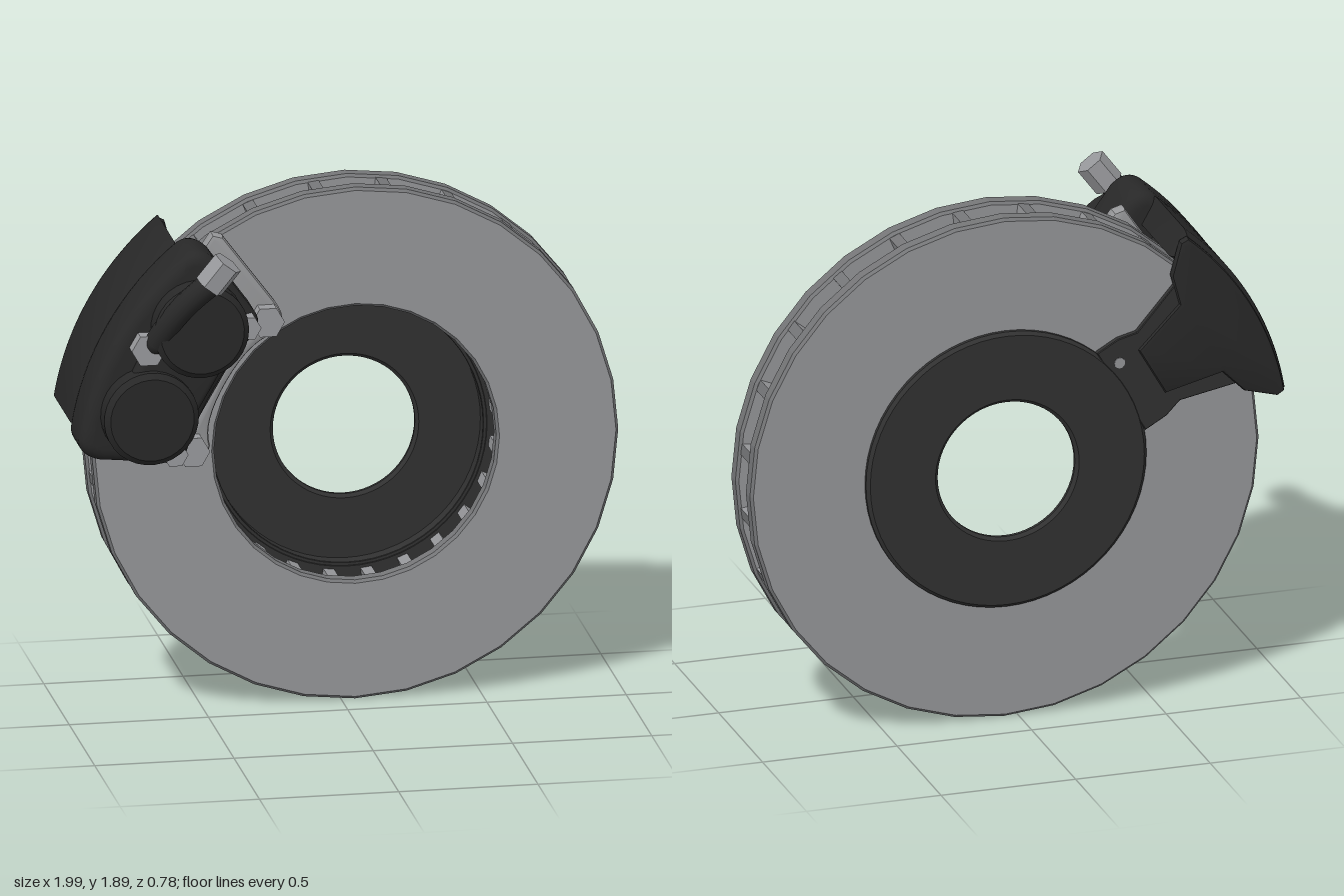
import * as THREE from 'three';
import { toCreasedNormals } from 'three/addons/utils/BufferGeometryUtils.js';

const mat = (name, color) => {
  const m = new THREE.MeshStandardMaterial({ color });
  m.name = name;
  return m;
};

export function createModel() {
  const model = new THREE.Group();
  model.name = 'brakeAssembly';
  const steel = mat('disc steel', 0x959699);
  const edge = mat('disc edge', 0x757678);
  const hatBlack = mat('hat black', 0x313131);
  const black = mat('caliper black', 0x282828);
  const bracketGrey = mat('bracket grey', 0x969799);
  const boltGrey = mat('bolt grey', 0x999a9d);

  const add = (parent, name, geometry, material) => {
    const mesh = new THREE.Mesh(geometry, material);
    mesh.name = name;
    parent.add(mesh);
    return mesh;
  };

  // Bevelled slab that fills its shape exactly, from z0 to z1
  const slab = (shape, z0, z1, bevel, curveSegments = 12, bevelSegments = 1) => {
    const g = new THREE.ExtrudeGeometry(shape, {
      depth: z1 - z0 - 2 * bevel, bevelEnabled: true, bevelThickness: bevel,
      bevelSize: bevel, bevelOffset: -bevel, bevelSegments, curveSegments,
    });
    return g.translate(0, 0, z0 + bevel);
  };
  const smoothSlab = (...args) => toCreasedNormals(slab(...args), 0.6);

  const ringShape = (outer, inner) => {
    const s = new THREE.Shape().absarc(0, 0, outer, 0, Math.PI * 2, false);
    s.holes.push(new THREE.Path().absarc(0, 0, inner, 0, Math.PI * 2, true));
    return s;
  };

  // ---- Vented disc ----
  const disc = new THREE.Group();
  disc.name = 'ventedDisc';
  disc.position.set(0.05, 0.95, 0);
  model.add(disc);
  add(disc, 'frontPlate', slab(ringShape(0.945, 0.507), -0.185, -0.12, 0.01, 16), [steel, edge]);
  add(disc, 'backPlate', slab(ringShape(0.945, 0.507), -0.35, -0.285, 0.01, 16), [steel, edge]);
  // Vanes: the outer end (first face group) matches the rim
  const vane = new THREE.BoxGeometry(0.42, 0.04, 0.104).translate(0.723, 0, -0.235);
  const vaneMaterials = [edge, steel, steel, steel, steel, steel];
  for (let i = 0; i < 24; i++) {
    add(disc, 'vane', vane, vaneMaterials).rotation.z = (i + 0.5) * Math.PI / 12;
  }
  // Hat: mounting face, barrel and the flange that enters the vents
  add(disc, 'hat', smoothSlab(ringShape(0.521, 0.255), -0.376, -0.338, 0.012, 32), hatBlack);
  add(disc, 'hatBarrel', smoothSlab(ringShape(0.512, 0.488), -0.36, -0.283, 0.002, 32), hatBlack);
  add(disc, 'hatFlange', smoothSlab(ringShape(0.58, 0.5), -0.289, -0.281, 0.002, 32), hatBlack);

  // ---- Caliper: local +x points outward from the disc centre, -y is the upper end ----
  const caliper = new THREE.Group();
  caliper.name = 'caliper';
  caliper.position.copy(disc.position);
  caliper.rotation.z = Math.PI * 5 / 6;
  model.add(caliper);

  const body = new THREE.Shape();
  body.moveTo(0.62, 0.25);
  body.quadraticCurveTo(0.68, 0, 0.62, -0.25);
  body.quadraticCurveTo(0.62, -0.3, 0.68, -0.32);
  body.lineTo(0.89, -0.415);
  body.quadraticCurveTo(0.96, -0.435, 0.99, -0.384);
  body.absarc(0, 0, 1.062, -0.37, 0.37, false);
  body.quadraticCurveTo(0.96, 0.435, 0.89, 0.415);
  body.lineTo(0.68, 0.32);
  body.quadraticCurveTo(0.62, 0.3, 0.62, 0.25);
  add(caliper, 'caliperBody', smoothSlab(body, -0.015, 0.215, 0.045, 8, 4), black);

  // Raised web behind the piston housings
  const web = new THREE.Shape();
  web.moveTo(0.68, 0.24);
  web.lineTo(0.68, -0.24);
  web.lineTo(0.9, -0.32);
  web.quadraticCurveTo(1.02, 0, 0.9, 0.32);
  add(caliper, 'caliperWeb', smoothSlab(web, 0.18, 0.262, 0.025, 12, 3), black);

  // Bridge over the rim and the claw behind the disc
  const bridge = new THREE.Shape().absarc(0, 0, 1.06, -0.36, 0.36, false);
  bridge.absarc(0, 0, 0.95, 0.34, -0.34, true);
  add(caliper, 'bridge', smoothSlab(bridge, -0.357, 0.03, 0.03, 12, 3), black);
  const claw = new THREE.Shape();
  claw.moveTo(0.62, 0.1);
  claw.lineTo(0.62, -0.1);
  claw.lineTo(0.83, -0.16);
  claw.lineTo(0.86, -0.27);
  claw.lineTo(0.95, -0.36);
  claw.absarc(0, 0, 1.045, -0.35, 0.35, false);
  claw.lineTo(0.95, 0.36);
  claw.lineTo(0.86, 0.27);
  claw.lineTo(0.83, 0.16);
  add(caliper, 'rearClaw', smoothSlab(claw, -0.388, -0.345, 0.014, 12, 2), black);

  // Rear pad plate reaching down to the hat, with a small gap showing the disc
  const pad = new THREE.Shape();
  pad.moveTo(0.49, 0.18);
  pad.lineTo(0.49, -0.18);
  pad.lineTo(0.58, -0.18);
  pad.lineTo(0.65, -0.16);
  pad.lineTo(0.88, -0.24);
  pad.lineTo(0.88, 0.24);
  pad.lineTo(0.65, 0.16);
  pad.lineTo(0.58, 0.18);
  add(caliper, 'rearPadPlate', slab(pad, -0.374, -0.349, 0.003), hatBlack);
  const gap = new THREE.CylinderGeometry(0.02, 0.02, 0.008, 12).rotateX(Math.PI / 2);
  add(caliper, 'padGap', gap, steel).position.set(0.54, -0.1, -0.374);
  add(caliper, 'frontPad', new THREE.BoxGeometry(0.34, 0.5, 0.1).translate(0.77, 0, -0.015), black);
  add(caliper, 'frontPadFace', new THREE.BoxGeometry(0.3, 0.5, 0.06).translate(0.77, 0, -0.09), black);

  // Piston housings with chamfered caps
  for (const s of [-1, 1]) {
    const profile = [[0.17, 0.18], [0.17, 0.288], [0.15, 0.306], [0, 0.306]]
      .map(([r, z]) => new THREE.Vector2(r, z));
    const g = toCreasedNormals(new THREE.LatheGeometry(profile, 32).rotateX(Math.PI / 2), 0.5);
    add(caliper, 'pistonHousing', g, black).position.set(0.828, s * 0.18, 0);
  }

  // Mounting bracket; the pad fills the recess along its centre
  const bracket = new THREE.Shape();
  bracket.moveTo(0.87, -0.45);
  bracket.lineTo(0.88, -0.3);
  bracket.lineTo(0.66, -0.22);
  bracket.lineTo(0.6, -0.1);
  bracket.lineTo(0.6, 0.1);
  bracket.lineTo(0.66, 0.22);
  bracket.lineTo(0.88, 0.3);
  bracket.lineTo(0.87, 0.45);
  bracket.lineTo(0.83, 0.46);
  bracket.lineTo(0.54, 0.335);
  bracket.quadraticCurveTo(0.46, 0.3, 0.485, 0.23);
  bracket.quadraticCurveTo(0.55, 0.17, 0.55, 0);
  bracket.quadraticCurveTo(0.55, -0.17, 0.485, -0.23);
  bracket.quadraticCurveTo(0.46, -0.3, 0.54, -0.335);
  bracket.lineTo(0.83, -0.46);
  add(caliper, 'mountingBracket', smoothSlab(bracket, -0.105, -0.037, 0.018, 8, 2), bracketGrey);

  // Hex bolts
  const hexBolt = (name, x, y, z0, z1, r) => {
    const g = new THREE.CylinderGeometry(r, r, z1 - z0, 6).rotateX(Math.PI / 2).toNonIndexed();
    g.computeVertexNormals();
    add(caliper, name, g, boltGrey).position.set(x, y, (z0 + z1) / 2);
  };
  for (const s of [-1, 1]) {
    hexBolt('bracketBolt', 0.545, s * 0.268, -0.05, 0.013, 0.06);
    hexBolt('slideBolt', 0.675, s * 0.262, 0.19, 0.262, 0.046);
  }
  hexBolt('bleedBolt', 0.955, -0.03, 0.2, 0.267, 0.062);

  // Fluid pipe ending in a hex fitting
  const start = new THREE.Vector3(0.94, -0.07, 0.25);
  const end = new THREE.Vector3(0.9, -0.36, 0.33);
  const path = new THREE.QuadraticBezierCurve3(start, new THREE.Vector3(0.965, -0.2, 0.31), end);
  add(caliper, 'fluidPipe', new THREE.TubeGeometry(path, 12, 0.045, 12, false), black);
  add(caliper, 'pipeFoot', new THREE.SphereGeometry(0.045, 12, 8), black).position.copy(start);
  const hex = new THREE.CylinderGeometry(0.057, 0.057, 0.11, 6).toNonIndexed();
  hex.computeVertexNormals();
  const fitting = add(caliper, 'pipeFitting', hex, boltGrey);
  fitting.position.set(0.895, -0.4, 0.335);
  fitting.quaternion.setFromUnitVectors(
    new THREE.Vector3(0, 1, 0), new THREE.Vector3(-0.12, -1, 0.12).normalize());

  return model;
}
